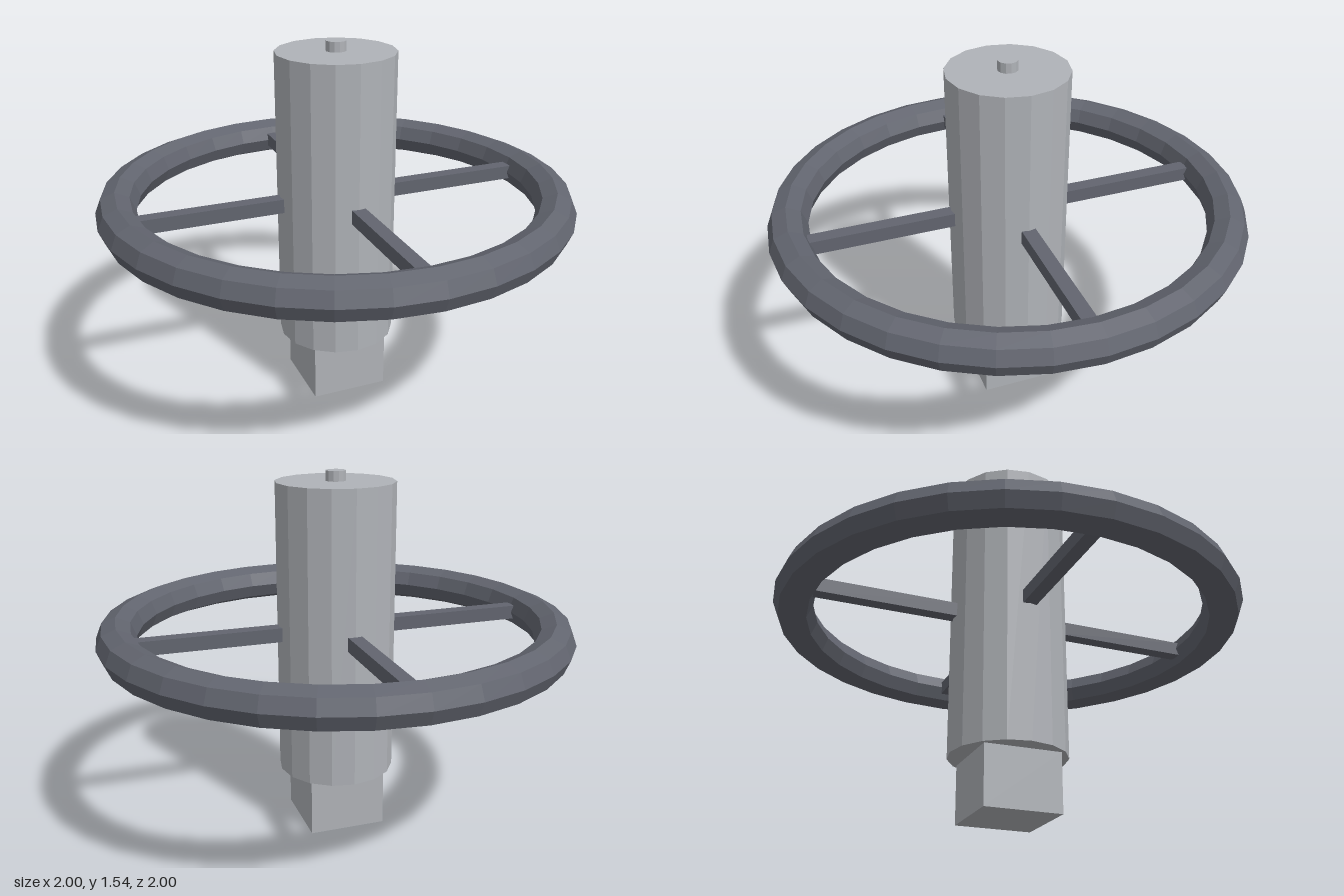
import * as THREE from 'three';

export function createModel() {
  const model = new THREE.Group();
  model.name = 'handwheel';
  const paleSteel = new THREE.MeshStandardMaterial({ color: 0xb0b3b8, flatShading: true });
  paleSteel.name = 'pale steel';
  const darkSteel = new THREE.MeshStandardMaterial({ color: 0x62656f, flatShading: true });
  darkSteel.name = 'dark steel';

  const add = (name, geometry, material, y, parent = model) => {
    const mesh = new THREE.Mesh(geometry, material);
    mesh.name = name;
    mesh.position.y = y;
    parent.add(mesh);
    return mesh;
  };

  // Square foot, faceted hub and small pin on top
  add('squareFoot', new THREE.BoxGeometry(0.33, 0.25, 0.33), paleSteel, 0.125);
  add('hub', new THREE.CylinderGeometry(0.25, 0.25, 1.25, 16), paleSteel, 0.875);
  add('topPin', new THREE.CylinderGeometry(0.042, 0.042, 0.042, 12), paleSteel, 1.521);

  // Wheel: low-poly rim and four spokes running from the hub into the rim
  const wheel = new THREE.Group();
  wheel.name = 'wheel';
  wheel.position.y = 0.875;
  model.add(wheel);
  add('rim', new THREE.TorusGeometry(0.917, 0.083, 8, 32), darkSteel, 0, wheel).rotation.x = Math.PI / 2;

  const inner = 0.2, outer = 0.88;
  for (let i = 0; i < 4; i++) {
    const geometry = new THREE.BoxGeometry(outer - inner, 0.06, 0.06);
    geometry.translate((inner + outer) / 2, 0, 0);
    add('spoke', geometry, darkSteel, 0, wheel).rotation.y = i * Math.PI / 2;
  }
  return model;
}
